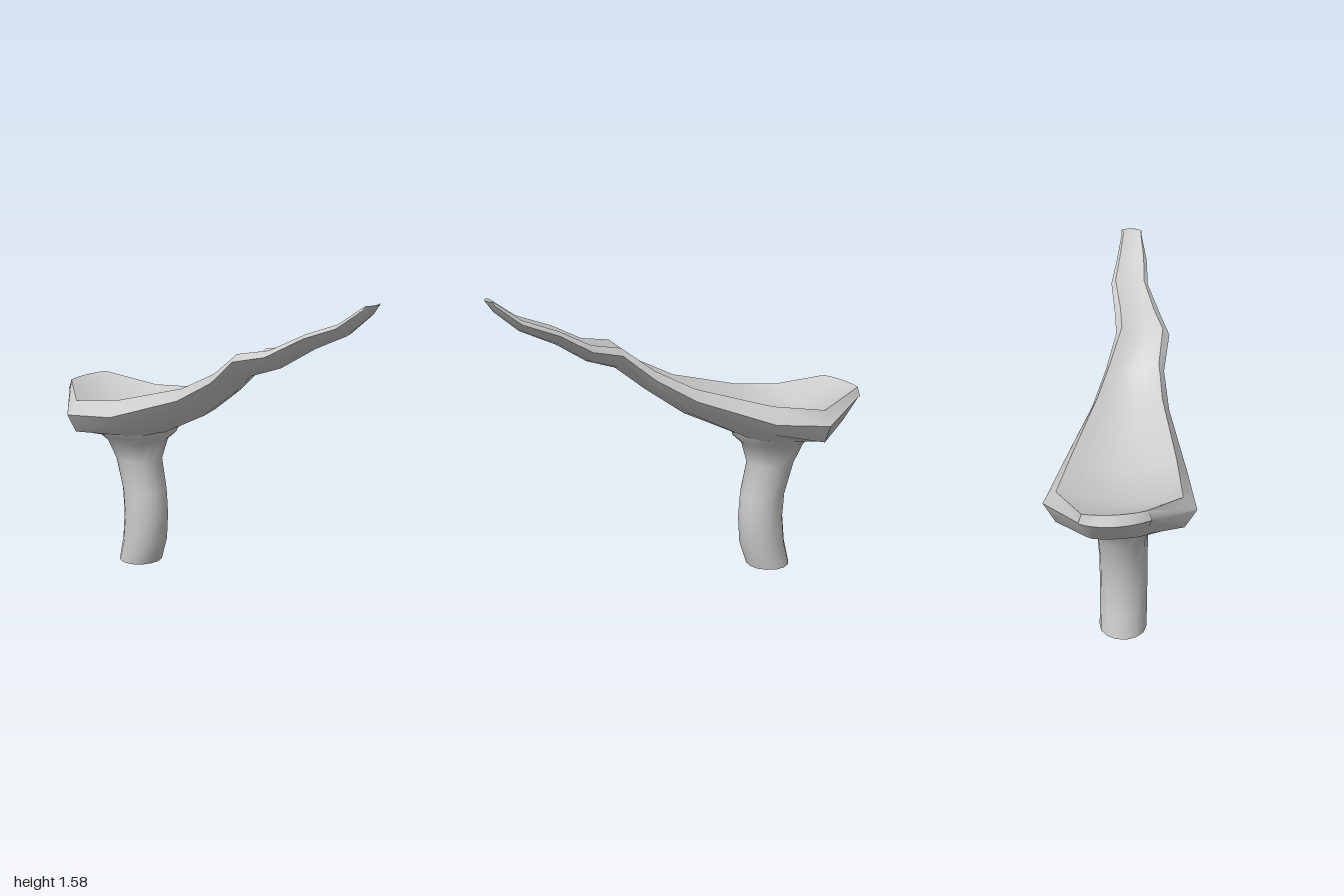
import * as THREE from 'three';
import { toCreasedNormals } from 'three/addons/utils/BufferGeometryUtils.js';

const material = new THREE.MeshStandardMaterial({ color: 0xcccccc, side: THREE.DoubleSide });

// Join closed rings of [x, y, z] points into one skin
function loft(rings, crease) {
  const n = rings[0].length, index = [];
  for (let r = 0; r < rings.length - 1; r++) {
    for (let c = 0; c < n; c++) {
      const a = r * n + c, b = r * n + (c + 1) % n;
      index.push(a, a + n, b, b, a + n, b + n);
    }
  }
  const g = new THREE.BufferGeometry();
  g.setAttribute('position', new THREE.Float32BufferAttribute(rings.flat(2), 3));
  g.setIndex(index);
  return toCreasedNormals(g, crease);
}

// Cross-section of the cap: dished top between the inner rims, rounded underside between the outer edges
function capRing({ z, inner, outer, rim, dish, edge, bottom, power = 2, bow = 0, skew = 0, under = 0 }) {
  const steps = 8, ring = [];
  const zAt = (u) => z + bow * (1 - u * u) + skew * u;
  for (let i = 0; i <= steps; i++) {
    const u = -1 + 2 * i / steps;
    ring.push([THREE.MathUtils.lerp(inner[0], inner[1], i / steps), rim - dish * (1 - u * u), zAt(u)]);
  }
  for (let i = steps; i >= 0; i--) {
    const v = -1 + 2 * i / steps;
    const u = Math.sign(v) * Math.pow(Math.abs(v), 0.6); // crowd points toward the edge
    const rise = Math.pow(Math.abs(u), power);
    const x = THREE.MathUtils.lerp(outer[0], outer[1], (u + 1) / 2);
    ring.push([x, bottom + (edge - bottom) * rise, zAt(u) + under * (1 - rise)]);
  }
  return ring;
}

function buildCap() {
  // z, inner left/right, outer left/right, rim y, dish depth, edge y, bottom y, underside power
  const rows = [
    [-0.71, -0.30, 0.30, -0.367, 0.365, 0.935, 0.055, 0.865, 0.748, 12],
    [-0.43, -0.255, 0.255, -0.312, 0.315, 0.97, 0.065, 0.885, 0.722, 3],
    [-0.04, -0.165, 0.165, -0.20, 0.195, 1.075, 0.05, 1.015, 0.905, 2],
    [0.16, -0.135, 0.115, -0.162, 0.14, 1.175, 0.035, 1.13, 1.045, 2],
    [0.32, -0.145, 0.07, -0.18, 0.10, 1.295, 0.03, 1.26, 1.17, 2],
    [0.48, -0.09, 0.09, -0.125, 0.12, 1.325, 0.01, 1.295, 1.225, 2],
    [0.65, -0.025, 0.13, -0.045, 0.153, 1.415, 0.01, 1.395, 1.335, 2],
    [0.83, -0.01, 0.12, -0.027, 0.137, 1.48, 0.01, 1.46, 1.415, 2],
    [0.955, 0.015, 0.11, 0.01, 0.122, 1.57, 0.005, 1.555, 1.52, 2],
  ].map(([z, il, ir, ol, or, rim, dish, edge, bottom, power]) =>
    capRing({ z, inner: [il, ir], outer: [ol, or], rim, dish, edge, bottom, power }));

  // Back rim with the ridge below it, and the edge that closes them
  const back = capRing({ z: -0.95, inner: [-0.15, 0.15], outer: [-0.165, 0.165], rim: 1.0, dish: 0,
    edge: 0.95, bottom: 0.805, power: 12, bow: -0.022, skew: -0.025, under: 0.085 });
  const flat = (z, x0, x1, y, bow, skew) => capRing({ z, inner: [x0, x1], outer: [x0, x1],
    rim: y, dish: 0, edge: y, bottom: y, bow, skew });
  const backEdge = flat(-0.957, -0.165, 0.165, 0.95, -0.04, -0.027);
  // Narrow front tip
  const tip = flat(0.97, 0.012, 0.123, 1.577, 0.025, 0);
  return loft([backEdge, back, ...rows, tip], 0.65);
}

// Hollow stem, open at the foot and flaring into the cap
function buildStem() {
  // y, centre z, half width, half depth
  const rows = [
    [0, -0.537, 0.122, 0.118], [0.13, -0.50, 0.122, 0.125], [0.28, -0.488, 0.122, 0.123],
    [0.42, -0.498, 0.122, 0.123], [0.59, -0.54, 0.127, 0.13], [0.70, -0.55, 0.168, 0.17],
    [0.742, -0.545, 0.215, 0.212], [0.795, -0.54, 0.245, 0.222],
  ];
  const sides = 14;
  const rings = rows.map(([y, z, rx, rz]) => Array.from({ length: sides }, (_, i) => {
    const a = i / sides * Math.PI * 2;
    return [rx * Math.cos(a), y, z + rz * Math.sin(a)];
  }));
  return loft(rings, 0.9);
}

export function createModel() {
  const group = new THREE.Group();
  for (const [name, geometry] of [['cap', buildCap()], ['stem', buildStem()]]) {
    const mesh = new THREE.Mesh(geometry, material);
    mesh.name = name;
    group.add(mesh);
  }
  return group;
}
